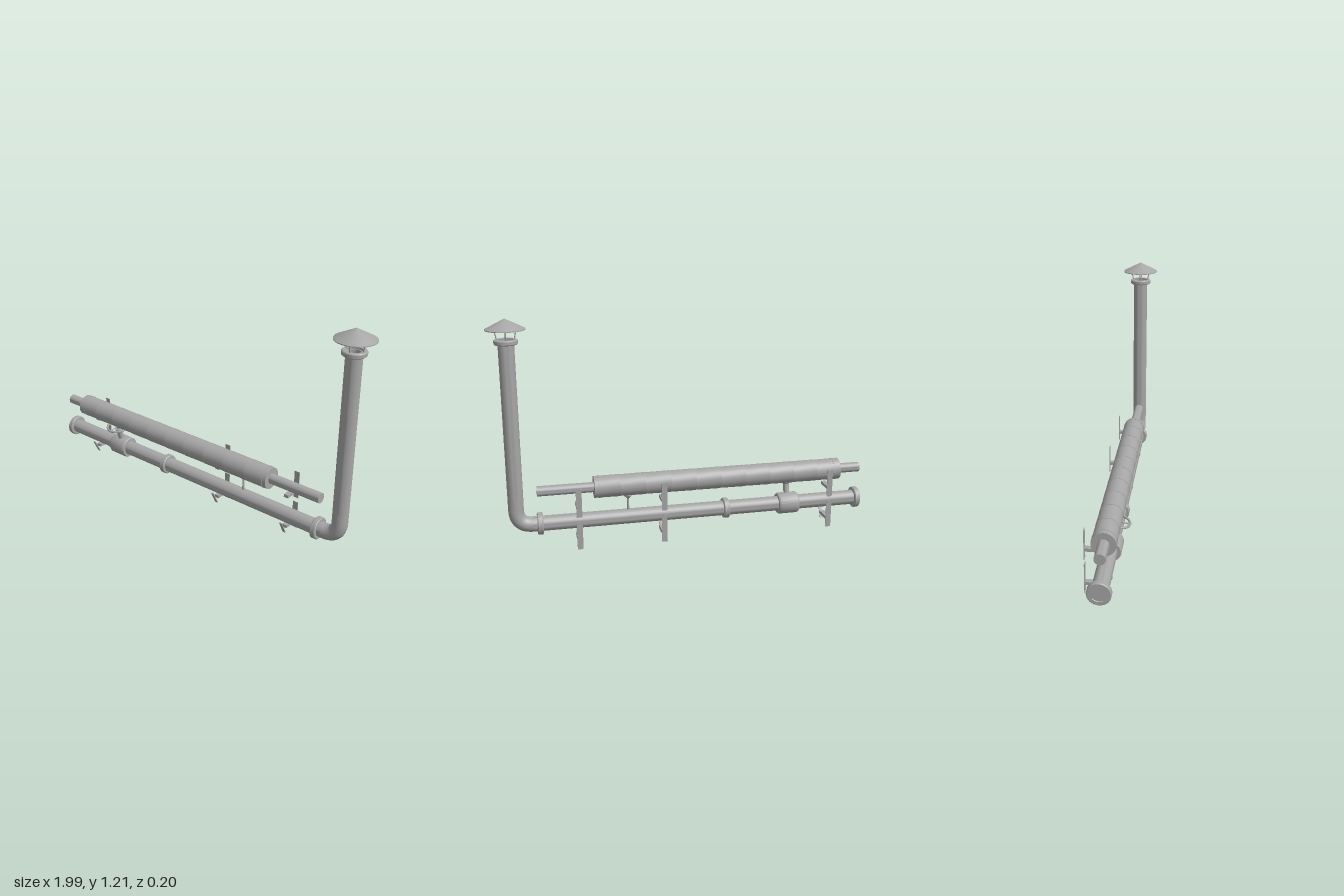
import * as THREE from 'three';
import { toCreasedNormals } from 'three/addons/utils/BufferGeometryUtils.js';

export function createModel() {
  const model = new THREE.Group();
  model.name = 'pipework';
  const steel = new THREE.MeshStandardMaterial({ color: 0xa6a6a6, side: THREE.DoubleSide });
  steel.name = 'greySteel';

  const add = (name, geometry, parent = model) => {
    const mesh = new THREE.Mesh(geometry, steel);
    mesh.name = name;
    parent.add(mesh);
    return mesh;
  };

  // Turned part from [radius, height] points, with crisp edges
  const turned = (points, sides = 32) => toCreasedNormals(
    new THREE.LatheGeometry(points.map(([r, h]) => new THREE.Vector2(r, h)), sides), 0.6);

  // Turned part lying along x
  const along = (name, points, x, y, z, sides) => {
    const mesh = add(name, turned(points, sides));
    mesh.rotation.z = -Math.PI / 2;
    mesh.position.set(x, y, z);
    return mesh;
  };

  // Round bar between two points
  const rod = (name, a, b, r, parent = model) => {
    const from = new THREE.Vector3(...a), to = new THREE.Vector3(...b);
    const dir = to.clone().sub(from);
    const mesh = add(name, new THREE.CylinderGeometry(r, r, dir.length(), 12), parent);
    mesh.position.copy(from).add(to).multiplyScalar(0.5);
    mesh.quaternion.setFromUnitVectors(new THREE.Vector3(0, 1, 0), dir.normalize());
    return mesh;
  };

  const lowY = 0.125, highY = 0.302, highZ = 0.006;
  const stackX = 0.895, pipeR = 0.04, bend = 0.085;

  // Lower pipe, elbow and vertical stack
  along('lowerPipe', [[0, 0], [pipeR, 0], [pipeR, stackX - bend + 0.99], [0, stackX - bend + 0.99]], -0.99, lowY, 0);
  const route = new THREE.CurvePath();
  route.add(new THREE.QuadraticBezierCurve3(
    new THREE.Vector3(stackX - bend, lowY, 0),
    new THREE.Vector3(stackX - 0.012, lowY + 0.012, 0).lerp(new THREE.Vector3(stackX, lowY, 0), 1),
    new THREE.Vector3(stackX, lowY + bend, 0)));
  route.add(new THREE.LineCurve3(
    new THREE.Vector3(stackX, lowY + bend, 0), new THREE.Vector3(stackX, 0.27, 0)));
  add('elbow', new THREE.TubeGeometry(route, 32, pipeR, 32));
  const stack = add('stackPipe', turned([[pipeR, 0], [pipeR, 0.82], [0.034, 0.82], [0.034, 0.7], [0, 0.7]]));
  stack.position.set(stackX, 0.27, 0);

  // Pipe couplings
  const coupling = (w, r) => [[pipeR - 0.002, 0], [r - 0.004, 0], [r, 0.004], [r, w - 0.004], [r - 0.004, w], [pipeR - 0.002, w]];
  along('endFlange', coupling(0.03, 0.058), -1, lowY, 0, 16);
  along('middleCoupling', coupling(0.032, 0.055), -0.243, lowY, 0, 16);
  along('elbowCoupling', coupling(0.03, 0.058), 0.76, lowY, 0, 16);

  // Chimney collar, struts and rain cap
  const collar = add('stackCollar', turned(coupling(0.024, 0.059), 24));
  collar.position.set(stackX, 1.078, 0);
  for (let i = 0; i < 4; i++) {
    const c = Math.cos(i * Math.PI / 2), s = Math.sin(i * Math.PI / 2);
    rod('capStrut', [stackX + c * 0.041, 1.095, s * 0.041], [stackX + c * 0.057, 1.168, s * 0.057], 0.003);
  }
  const cap = add('rainCap', turned([[0.093, 0.002], [0.099, 0], [0.099, 0.004], [0, 0.055]], 40));
  cap.position.set(stackX, 1.15, 0);

  // Upper pipe with overlapping insulation sleeves
  along('upperPipe', [[0, 0], [0.027, 0], [0.027, 1.785], [0, 1.785]], -1, highY, highZ, 24);
  const count = 10, start = -0.875, step = 1.365 / count;
  for (let i = 0; i < count; i++) {
    along('insulationSleeve', [[0, 0], [0.059, 0], [0.0575, step], [0, step]], start + i * step, highY, highZ, 24);
  }
  for (const x of [-0.845, 0.46]) {
    along('insulationBand', [[0.057, 0], [0.06, 0], [0.06, 0.008], [0.057, 0.008]], x, highY, highZ, 24);
  }

  // Valve body with a forward-leaning stem and handwheel
  along('valveBody', [[0.038, 0], [0.054, 0], [0.059, 0.008], [0.059, 0.107], [0.054, 0.115], [0.038, 0.115]], -0.64, lowY, 0, 24);
  const valve = new THREE.Group();
  valve.name = 'valveControl';
  valve.position.set(-0.583, lowY, 0);
  valve.rotation.x = 0.23;
  model.add(valve);
  add('valveStem', turned([[0.016, 0.04], [0.016, 0.105], [0.022, 0.112], [0.022, 0.122], [0.01, 0.125], [0.01, 0.15], [0, 0.15]], 20), valve);
  const wheel = add('handwheel', new THREE.TorusGeometry(0.063, 0.006, 10, 36), valve);
  wheel.rotation.x = Math.PI / 2;
  wheel.position.y = 0.142;
  for (let i = 0; i < 2; i++) {
    const c = Math.cos(i * Math.PI / 2) * 0.062, s = Math.sin(i * Math.PI / 2) * 0.062;
    rod('wheelSpoke', [-c, 0.142, -s], [c, 0.142, s], 0.004, valve);
  }

  // Small bleed tap
  const tap = add('bleedTap', turned([[0.006, 0], [0.006, 0.07], [0.012, 0.076], [0.023, 0.087], [0.023, 0.092], [0, 0.092]], 16));
  tap.position.set(0.31, 0.157, 0);

  // Wall brackets: back plate, arm and brace
  for (const x of [-0.794, 0.13, 0.578]) {
    for (const y of [0, 0.178]) {
      const bracket = new THREE.Group();
      bracket.name = y ? 'upperBracket' : 'lowerBracket';
      bracket.position.set(x, y, 0);
      model.add(bracket);
      add('wallPlate', new THREE.BoxGeometry(0.03, 0.152, 0.003), bracket).position.set(0, 0.076, -0.094);
      add('arm', new THREE.BoxGeometry(0.026, 0.016, 0.095), bracket).position.set(0, 0.05, -0.048);
      if (!y) {
        const brace = add('brace', new THREE.BoxGeometry(0.016, 0.08, 0.005), bracket);
        brace.position.set(0, 0.05, 0.017);
        brace.rotation.x = 0.46;
      }
    }
  }
  return model;
}
